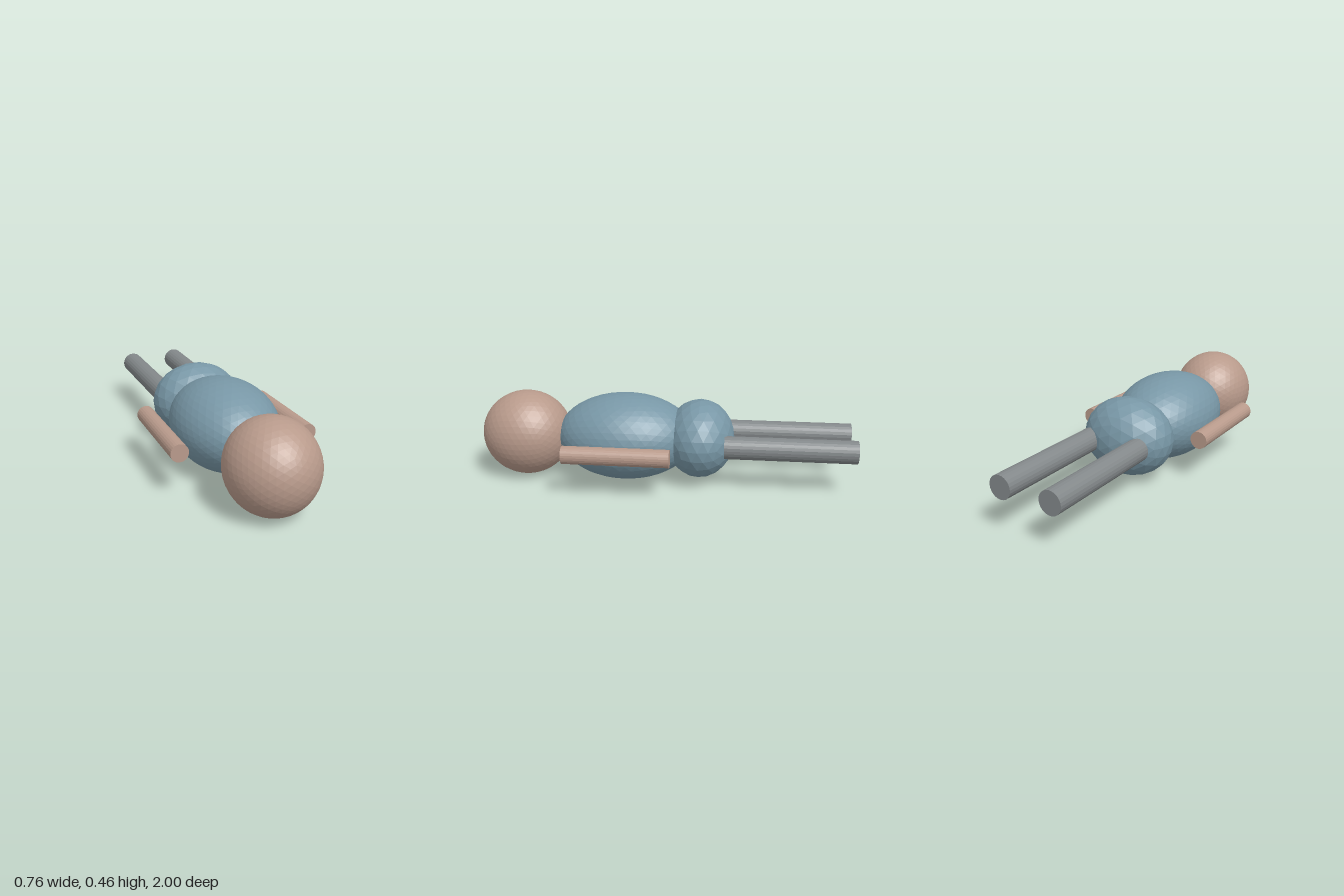
import * as THREE from 'three';

export function createModel() {
  const model = new THREE.Group();
  model.name = 'lyingFigure';

  const material = (name, color) => {
    const m = new THREE.MeshStandardMaterial({ color, flatShading: true });
    m.name = name;
    return m;
  };
  const skin = material('skin', 0xb89a8b);
  const blue = material('blueCloth', 0x7897a6);
  const grey = material('greyCloth', 0x83888a);

  const midY = 0.232;

  // Faceted ellipsoid centred on the body axis
  const ellipsoid = (name, mat, z, rx, ry, rz, detail) => {
    const geometry = new THREE.IcosahedronGeometry(1, detail).scale(rx, ry, rz);
    const mesh = new THREE.Mesh(geometry, mat);
    mesh.name = name;
    mesh.position.set(0, midY, z);
    model.add(mesh);
  };

  // Straight limb running along z
  const limb = (name, mat, x, radius, z0, z1) => {
    const geometry = new THREE.CylinderGeometry(radius, radius, z1 - z0, 24).rotateX(Math.PI / 2);
    const mesh = new THREE.Mesh(geometry, mat);
    mesh.name = name;
    mesh.position.set(x, midY, (z0 + z1) / 2);
    model.add(mesh);
  };

  // Head, torso and hips
  ellipsoid('head', skin, 0.758, 0.224, 0.231, 0.241, 7);
  ellipsoid('torso', blue, 0.21, 0.27, 0.231, 0.37, 7);
  ellipsoid('hips', blue, -0.19, 0.246, 0.206, 0.186, 3);

  // Arms and legs, mirrored
  for (const [side, s] of [['left', 1], ['right', -1]]) {
    limb(side + 'Arm', skin, s * 0.336, 0.046, -0.06, 0.483);
    limb(side + 'Leg', grey, s * 0.14, 0.06, -1, -0.325);
  }

  return model;
}
